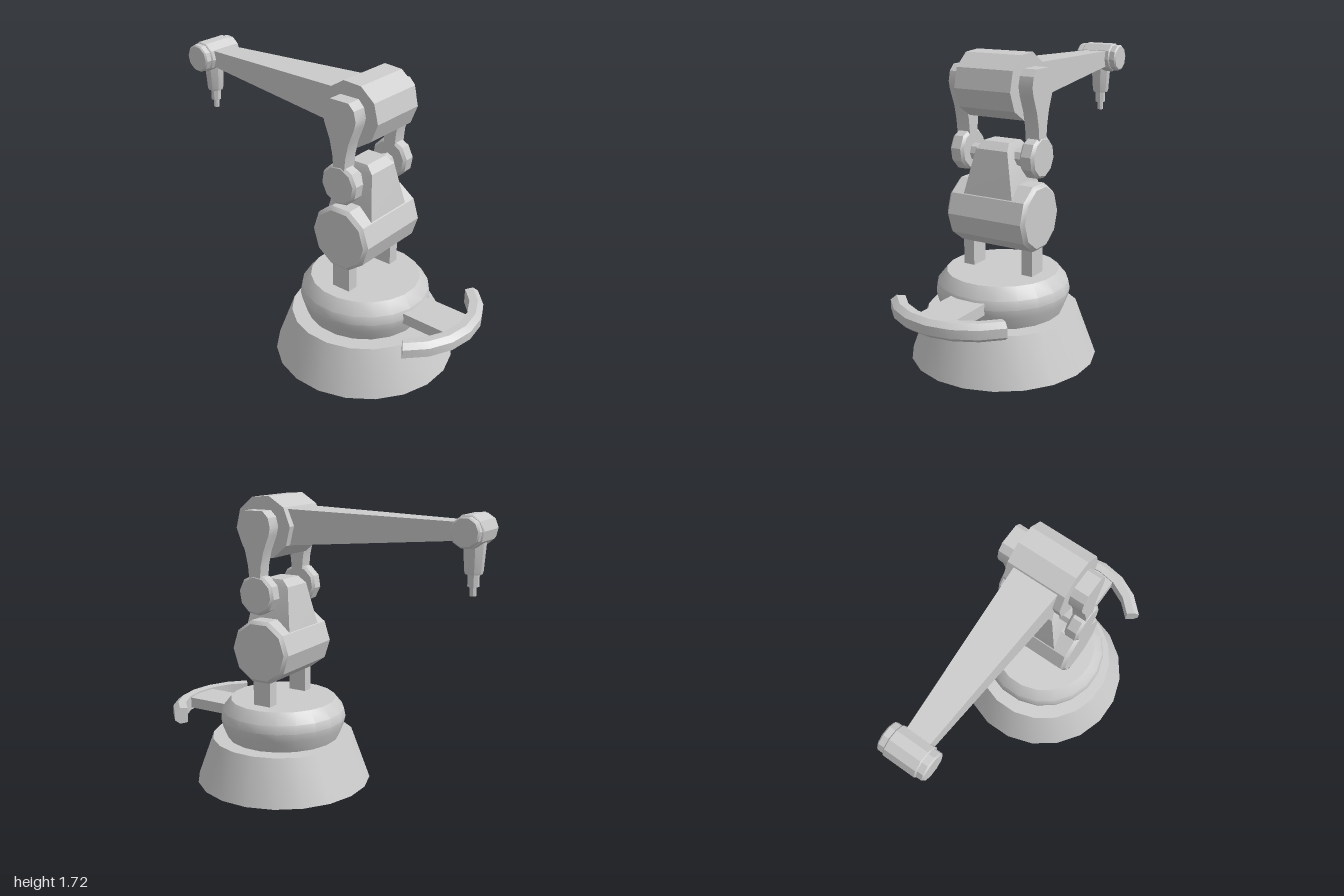
import * as THREE from 'three';
import { toCreasedNormals } from 'three/addons/utils/BufferGeometryUtils.js';

const grey = new THREE.MeshStandardMaterial({ color: 0xcccccc });
const greyDouble = new THREE.MeshStandardMaterial({ color: 0xcccccc, side: THREE.DoubleSide });
const CX = 0.27; // axis of the turntable

function part(name, geometry, x = 0, y = 0, z = 0, material = grey) {
  const mesh = new THREE.Mesh(toCreasedNormals(geometry, 0.5), material);
  mesh.name = name;
  mesh.position.set(x, y, z);
  return mesh;
}

function lathe(profile, sides) {
  return new THREE.LatheGeometry(profile.map(([r, y]) => new THREE.Vector2(r, y)), sides);
}

// Ten-sided drum lying along z, with chamfered rims
function drum(r, half, chamfer, turn = 0) {
  const g = lathe([
    [0, -half], [r - chamfer, -half], [r, -half + chamfer],
    [r, half - chamfer], [r - chamfer, half], [0, half],
  ], 10);
  return g.rotateX(Math.PI / 2).rotateZ(Math.PI / 2 + turn);
}

// Closed solid through a list of rings, each ring counterclockwise about the sweep direction
function loft(rings) {
  const pos = [];
  const tri = (...pts) => pts.forEach((p) => pos.push(...p));
  const n = rings[0].length;
  for (let i = 0; i < rings.length - 1; i++) {
    for (let j = 0; j < n; j++) {
      const k = (j + 1) % n;
      const a = rings[i][j], b = rings[i][k], c = rings[i + 1][k], d = rings[i + 1][j];
      tri(a, b, c);
      tri(a, c, d);
    }
  }
  const first = rings[0], last = rings[rings.length - 1];
  for (let j = 1; j < n - 1; j++) {
    tri(first[0], first[j + 1], first[j]);
    tri(last[0], last[j], last[j + 1]);
  }
  const g = new THREE.BufferGeometry();
  g.setAttribute('position', new THREE.Float32BufferAttribute(pos, 3));
  return g;
}

export function createModel() {
  const model = new THREE.Group();
  model.name = 'robotArm';

  // Hollow conical base and rounded turntable
  const base = lathe([
    [0.53, 0], [0.432, 0.27], [0.34, 0.27], [0.368, 0.34], [0.38, 0.39],
    [0.37, 0.44], [0.318, 0.505], [0, 0.505],
  ], 20).rotateY(Math.PI / 20);
  model.add(part('base', base, CX, 0, 0, greyDouble));

  // Curved side handle on a flat bracket
  model.add(part('handleBracket', new THREE.BoxGeometry(0.36, 0.065, 0.22), 0.75, 0.393, 0));
  const section = [[0.3925, 0.345], [0.44, 0.34], [0.4725, 0.365], [0.4725, 0.415], [0.44, 0.44], [0.3925, 0.435]];
  const rings = [];
  for (let i = 0; i <= 6; i++) {
    const a = THREE.MathUtils.degToRad(-52.5 + 17.5 * i);
    rings.push(section.map(([r, y]) => [0.5225 + r * Math.cos(a), y, r * Math.sin(a)]));
  }
  model.add(part('handle', loft(rings)));

  // Lower joint and tapering body
  model.add(part('lowerJoint', drum(0.192, 0.252, 0.02), CX, 0.833, 0));
  const body = [[0.85, 0.165, 0.165], [0.95, 0.15, 0.155], [1.2, 0.105, 0.1], [1.24, 0.06, 0.083]].map(
    ([y, hx, hz]) => [[CX - hx, y, hz], [CX + hx, y, hz], [CX + hx, y, -hz], [CX - hx, y, -hz]]);
  model.add(part('lowerBody', loft(body)));

  // Cross rod between the knuckles
  const rod = new THREE.CylinderGeometry(0.05, 0.05, 0.38, 8).rotateX(Math.PI / 2);
  model.add(part('crossRod', rod, CX, 1.155, 0));

  // Paired posts, knuckles and waisted links
  const half = [[0.06, 1.645], [0.095, 1.61], [0.108, 1.555], [0.098, 1.51], [0.062, 1.42], [0.044, 1.34], [0.034, 1.24], [0.034, 1.16]];
  const outline = [
    ...half.map(([x, y]) => new THREE.Vector2(0.28 + x, y)),
    ...half.slice().reverse().map(([x, y]) => new THREE.Vector2(0.28 - x, y)),
  ];
  const linkShape = new THREE.Shape(outline);
  for (const s of [1, -1]) {
    model.add(part('post', new THREE.BoxGeometry(0.115, 0.3, 0.068), CX, 0.64, s * 0.192));
    model.add(part('knuckle', drum(0.118, 0.044, 0.015, 0.15), 0.275, 1.17, s * 0.224));
    const link = new THREE.ExtrudeGeometry(linkShape, { depth: 0.084, bevelEnabled: false });
    model.add(part('link', link.translate(0, 0, -0.042), 0, 0, s * 0.222));
  }

  // Shoulder drum and long tapering arm
  model.add(part('shoulder', drum(0.182, 0.175, 0, -0.07), 0.28, 1.545, 0));
  const arm = [[0.2, 1.443, 1.653, 0.138], [-0.88, 1.533, 1.626, 0.067]].map(
    ([x, y0, y1, hz]) => [[x, y0, -hz], [x, y0, hz], [x, y1, hz], [x, y1, -hz]]);
  model.add(part('forearm', loft(arm)));

  // Wrist: wide middle with narrower ends
  model.add(part('wrist', drum(0.09, 0.098, 0.006, -0.07), -0.912, 1.582, 0));
  model.add(part('wristCaps', drum(0.082, 0.139, 0.008, -0.07), -0.912, 1.582, 0));

  // Stepped tool
  const tool = lathe([
    [0, 1.24], [0.018, 1.24], [0.018, 1.29], [0.031, 1.29], [0.031, 1.355],
    [0.045, 1.355], [0.05, 1.37], [0.062, 1.54], [0, 1.54],
  ], 8).rotateY(Math.PI / 8);
  model.add(part('tool', tool, -0.918, 0, 0));

  return model;
}
